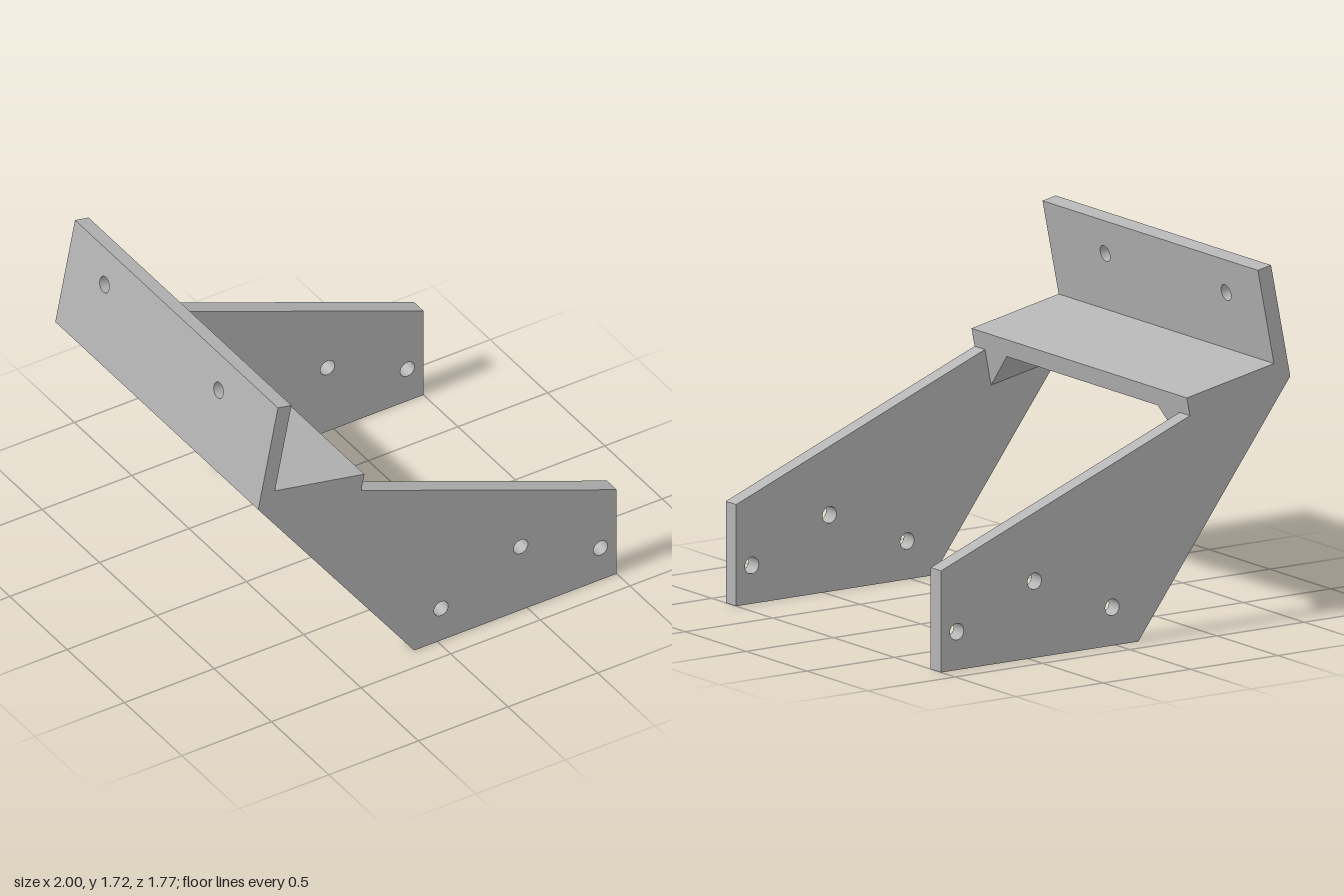
import * as THREE from 'three';
import { ConvexGeometry } from 'three/addons/geometries/ConvexGeometry.js';

const HALF = 0.885;   // half of the overall width
const INNER = 0.8;    // inner face of the side plates
const HOLE_R = 0.04;

// Extrude a polygon with round holes
function plate(points, holes, depth) {
  const shape = new THREE.Shape(points.map(([x, y]) => new THREE.Vector2(x, y)));
  for (const [x, y] of holes) {
    shape.holes.push(new THREE.Path().absarc(x, y, HOLE_R, 0, Math.PI * 2, true));
  }
  return new THREE.ExtrudeGeometry(shape, { depth, bevelEnabled: false, curveSegments: 16 });
}

export function createModel() {
  const model = new THREE.Group();
  model.name = 'mountingBracket';
  const grey = new THREE.MeshStandardMaterial({ color: 0xb4b4b4 });
  grey.name = 'plain grey';

  function add(parent, name, geometry) {
    const mesh = new THREE.Mesh(geometry, grey);
    mesh.name = name;
    parent.add(mesh);
    return mesh;
  }

  // Side plates with three bolt holes each
  const side = plate(
    [[-1, 1.165], [-0.13, 0], [1, 0], [1, 0.49], [-0.425, 1.05]],
    [[0.02, 0.185], [0.465, 0.37], [0.91, 0.185]],
    HALF - INNER
  );
  add(model, 'frontSidePlate', side).position.z = INNER;
  add(model, 'backSidePlate', side).position.z = -HALF;

  // Tilted seat: x runs along the shelf, y along the upright
  const seat = new THREE.Group();
  seat.name = 'tiltedSeat';
  seat.position.set(-1, 1.165, 0);
  seat.rotation.z = -0.1974;
  model.add(seat);

  const thick = 0.077, length = 0.586, shelfHeight = 0.09;
  const shelf = new THREE.BoxGeometry(length - thick, shelfHeight, HALF * 2);
  add(seat, 'shelf', shelf).position.set((length + thick) / 2, shelfHeight / 2, 0);

  // Upright panel with two off-centre holes
  const upright = plate(
    [[-HALF, 0], [HALF, 0], [HALF, 0.561], [-HALF, 0.561]],
    [[-0.42, 0.387], [0.575, 0.387]],
    thick
  );
  upright.rotateY(Math.PI / 2);
  add(seat, 'upright', upright);

  // Corner gussets under the shelf, cut flush with the sloping back edge
  for (const s of [1, -1]) {
    const corners = [
      [0, 0, INNER], [length, 0, INNER], [length, -0.18, INNER],
      [0.201, -0.18, INNER], [0, 0, 0.62], [length, 0, 0.62],
    ].map(([x, y, z]) => new THREE.Vector3(x, y, z * s));
    add(seat, s > 0 ? 'frontGusset' : 'backGusset', new ConvexGeometry(corners));
  }
  return model;
}
